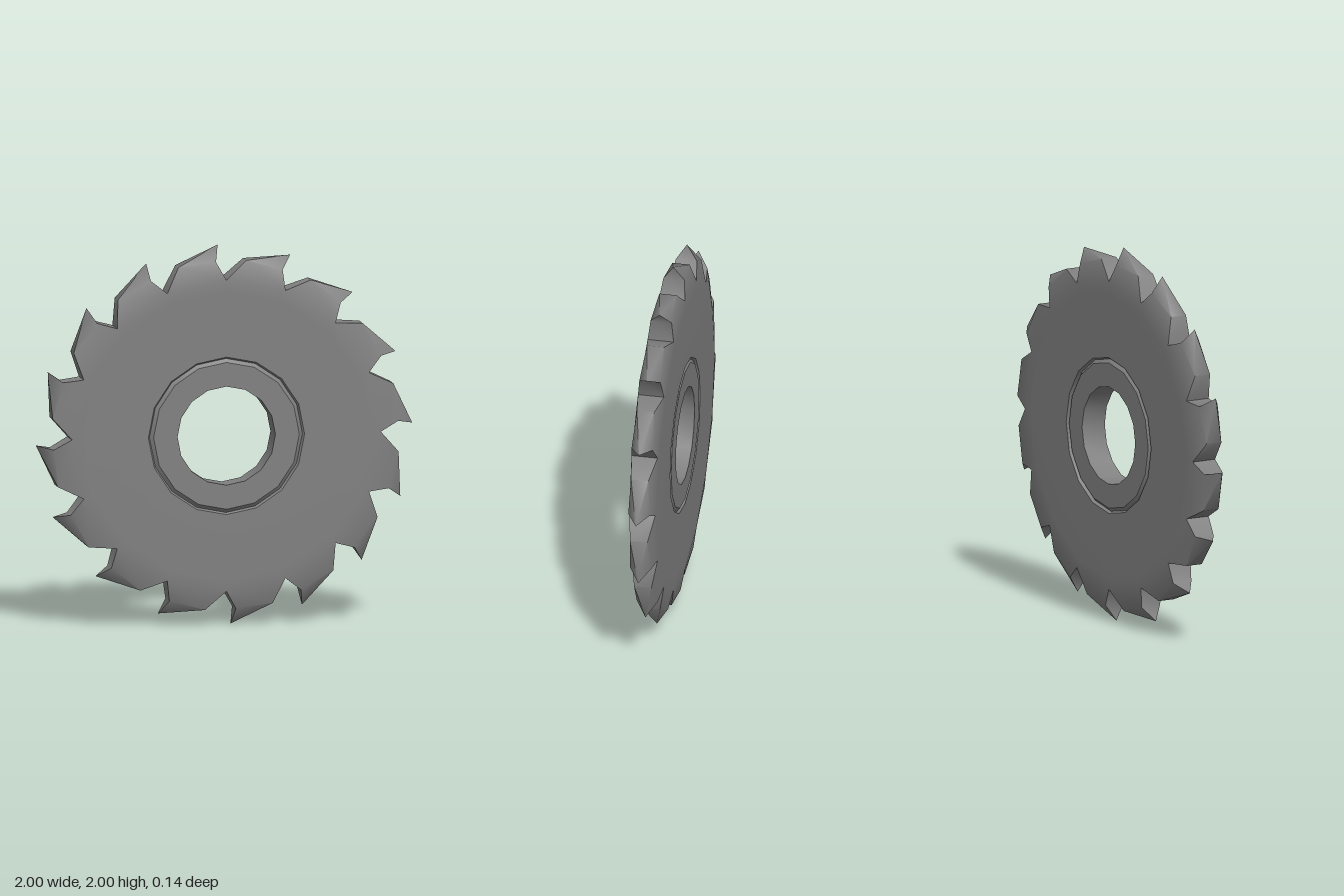
import * as THREE from 'three';
import { toCreasedNormals } from 'three/addons/utils/BufferGeometryUtils.js';

const TEETH = 16;
const STEP = (Math.PI * 2) / TEETH;
const HALF = 0.07; // half the blade thickness

// Radius and half thickness: bore, groove lip, groove floor, groove lip
const HUB = [[0.26, HALF], [0.387, HALF], [0.406, 0.054], [0.415, HALF]];
// Groove lip, flat web, tooth root
const WEB = [[0.415, HALF], [0.76, HALF], [0.82, 0.069]];

const polar = (r, angle, z) => new THREE.Vector3(r * Math.cos(angle), r * Math.sin(angle), z);
const back = (v) => new THREE.Vector3(v.x, v.y, -v.z);

// Repeats one wedge around the axis
function buildGeometry(sector, crease) {
  const positions = [];
  // Adds a convex polygon as a triangle fan
  const face = (...p) => {
    for (let i = 1; i < p.length - 1; i++) {
      for (const v of [p[0], p[i], p[i + 1]]) positions.push(v.x, v.y, v.z);
    }
  };
  // Same polygon on the front and mirrored on the back
  const bothSides = (...p) => {
    face(...p);
    face(...p.map(back).reverse());
  };
  for (let i = 0; i < TEETH; i++) sector(Math.PI / 2 + i * STEP, face, bothSides);
  const geometry = new THREE.BufferGeometry();
  geometry.setAttribute('position', new THREE.Float32BufferAttribute(positions, 3));
  return toCreasedNormals(geometry, crease);
}

// Wedge of concentric bands following a profile
function bands(profile, a, bothSides) {
  const b = a + STEP;
  for (let k = 0; k < profile.length - 1; k++) {
    const [r0, z0] = profile[k];
    const [r1, z1] = profile[k + 1];
    bothSides(polar(r0, a, z0), polar(r1, a, z1), polar(r1, b, z1), polar(r0, b, z0));
  }
}

// Hub with ring groove and bore wall
function hubSector(a, face, bothSides) {
  bands(HUB, a, bothSides);
  const [r, z] = HUB[0];
  face(polar(r, a, z), polar(r, a + STEP, z), polar(r, a + STEP, -z), polar(r, a, -z));
}

// Web with one hooked tooth, bevelled on both flanks towards a pointed tip
function bladeSector(a, face, bothSides) {
  bands(WEB, a, bothSides);
  const [rootR, rootZ] = WEB[WEB.length - 1];
  const root = polar(rootR, a, rootZ);
  const nextRoot = polar(rootR, a + STEP, rootZ);
  const knee = polar(0.916, a + 0.058, 0.056);
  const tip = polar(1, a + 0.034, 0);
  const shoulder = polar(0.925, a + 0.274, 0.046);
  // flank and bevel
  bothSides(root, knee, shoulder, nextRoot);
  bothSides(knee, tip, shoulder);
  // cutting face, kinked at the knee
  face(knee, root, back(root), back(knee));
  face(tip, knee, back(knee));
  // top land and heel
  face(tip, back(shoulder), shoulder);
  face(shoulder, back(shoulder), back(nextRoot), nextRoot);
}

export function createModel() {
  const group = new THREE.Group();
  group.name = 'circularCutter';
  const material = new THREE.MeshStandardMaterial({ color: 0x808080 });
  for (const [name, sector, crease] of [['hub', hubSector, 0.6], ['toothedBlade', bladeSector, 1]]) {
    const mesh = new THREE.Mesh(buildGeometry(sector, crease), material);
    mesh.name = name;
    mesh.position.y = 1;
    group.add(mesh);
  }
  return group;
}
